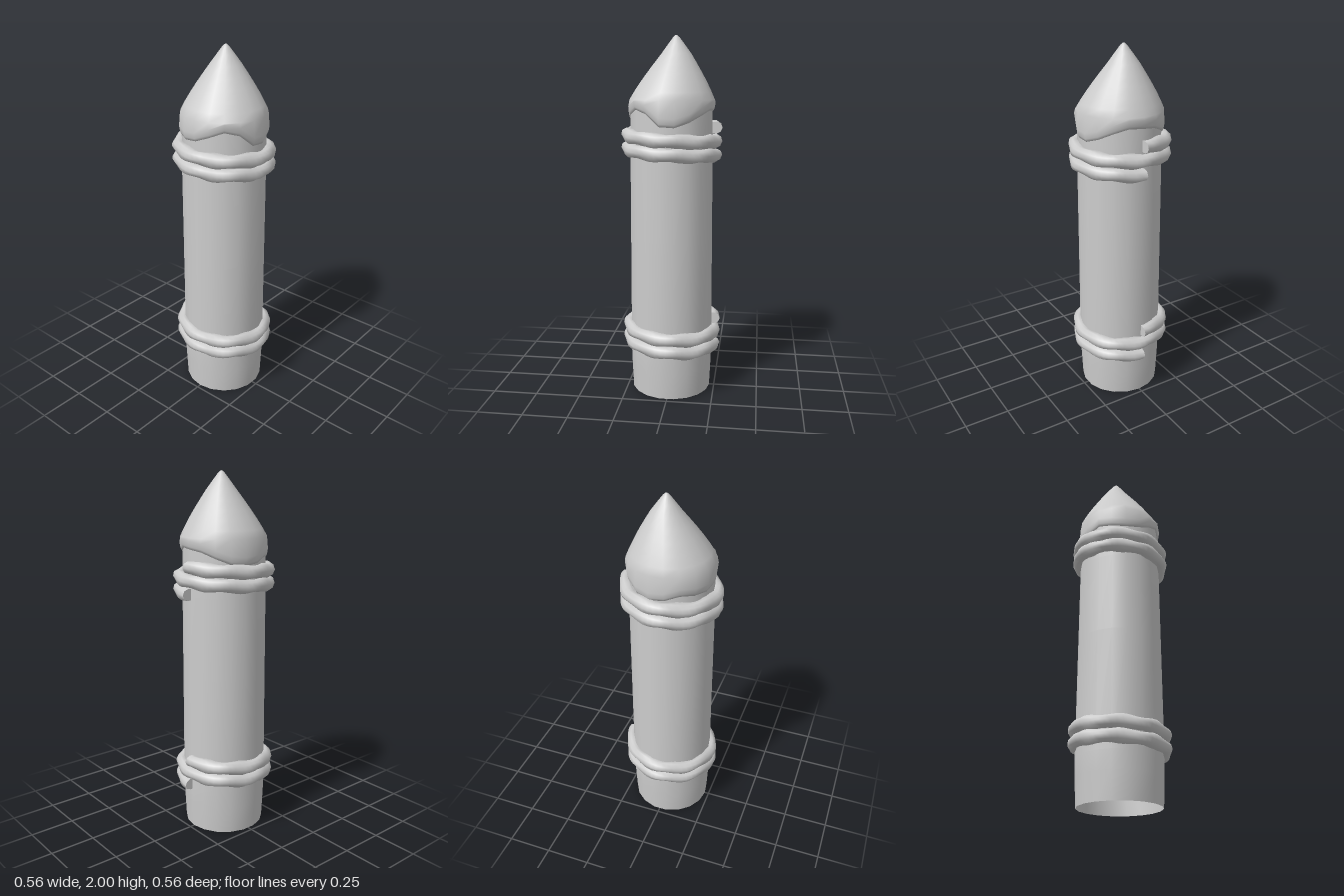
import * as THREE from 'three';

const SIDES = 18;

// Skin a list of closed rings (arrays of Vector3, equal length) with smooth normals
function loft(rings) {
  const n = rings[0].length;
  const index = [];
  for (let i = 0; i < rings.length - 1; i++) {
    for (let j = 0; j < n; j++) {
      const k = (j + 1) % n;
      const a = i * n + j, b = i * n + k, c = a + n, d = b + n;
      index.push(a, c, b, b, c, d);
    }
  }
  const geometry = new THREE.BufferGeometry().setFromPoints(rings.flat());
  geometry.setIndex(index);
  geometry.computeVertexNormals();
  return geometry;
}

function ring(n, point) {
  return Array.from({ length: n }, (_, j) => point((j / n) * Math.PI * 2, j));
}

// Hollow post, slightly narrower at the foot
function postGeometry() {
  const profile = [[0.224, 0], [0.231, 0.15], [0.234, 0.25], [0.231, 0.9], [0.229, 1.35], [0.224, 1.64]];
  return loft(profile.map(([r, y]) => ring(SIDES, (a) =>
    new THREE.Vector3(Math.cos(a) * r - 0.002, y, Math.sin(a) * r))));
}

// Pointed tip with a wavy lower rim and a slightly off-centre apex
function tipGeometry() {
  const rim = [1.6, 1.605, 1.58, 1.545, 1.52, 1.525, 1.59, 1.61, 1.58,
    1.55, 1.54, 1.545, 1.555, 1.53, 1.52, 1.53, 1.56, 1.59];
  const lower = [[0.212, 0.012], [0.228, 0], [0.235, 0.015], [0.24, 0.045]];
  const upper = [[0.234, 1.66], [0.213, 1.7], [0.184, 1.75], [0.152, 1.8], [0.118, 1.85],
    [0.083, 1.9], [0.046, 1.95], [0.018, 1.987], [0.006, 1.998], [0, 2]];
  const rows = lower.map(([r, lift]) => ring(SIDES, (a, j) =>
    new THREE.Vector3(Math.cos(a) * r, rim[j] + lift, Math.sin(a) * r)));
  for (const [r, y] of upper) {
    const lean = Math.min(1, (y - 1.65) / 0.25);
    rows.push(ring(SIDES, (a) =>
      new THREE.Vector3(Math.cos(a) * r + 0.024 * lean, y, Math.sin(a) * r - 0.01 * lean)));
  }
  return loft(rows);
}

// Twisted rope wound twice round the post, climbing from the start height
function ropeGeometry(startY) {
  const turns = 2, steps = 112, climb = 0.073, coilRadius = 0.238, twist = 8;
  const section = (t, scale) => {
    const u = t * turns * Math.PI * 2;
    return ring(10, (p) => {
      const r = scale * (0.037 + 0.005 * Math.cos(2 * (p - twist * u / 2)));
      const d = coilRadius + Math.cos(p) * r;
      return new THREE.Vector3(Math.cos(u) * d, startY + climb * turns * t - Math.sin(p) * r, Math.sin(u) * d);
    });
  };
  // Doubled end rings keep the cut ends flat
  const rings = [section(0, 0), section(0, 1)];
  for (let i = 0; i <= steps; i++) rings.push(section(i / steps, 1));
  rings.push(section(1, 1), section(1, 0));
  return loft(rings);
}

export function createModel() {
  const grey = new THREE.MeshStandardMaterial({ color: 0xcccccc, side: THREE.DoubleSide });
  grey.name = 'plain grey';

  const model = new THREE.Group();
  model.name = 'ropeBoundPost';
  const add = (name, geometry) => {
    const mesh = new THREE.Mesh(geometry, grey);
    mesh.name = name;
    model.add(mesh);
  };

  add('post', postGeometry());
  add('pointedTip', tipGeometry());
  add('lowerRope', ropeGeometry(0.268));
  add('upperRope', ropeGeometry(1.362));
  return model;
}
